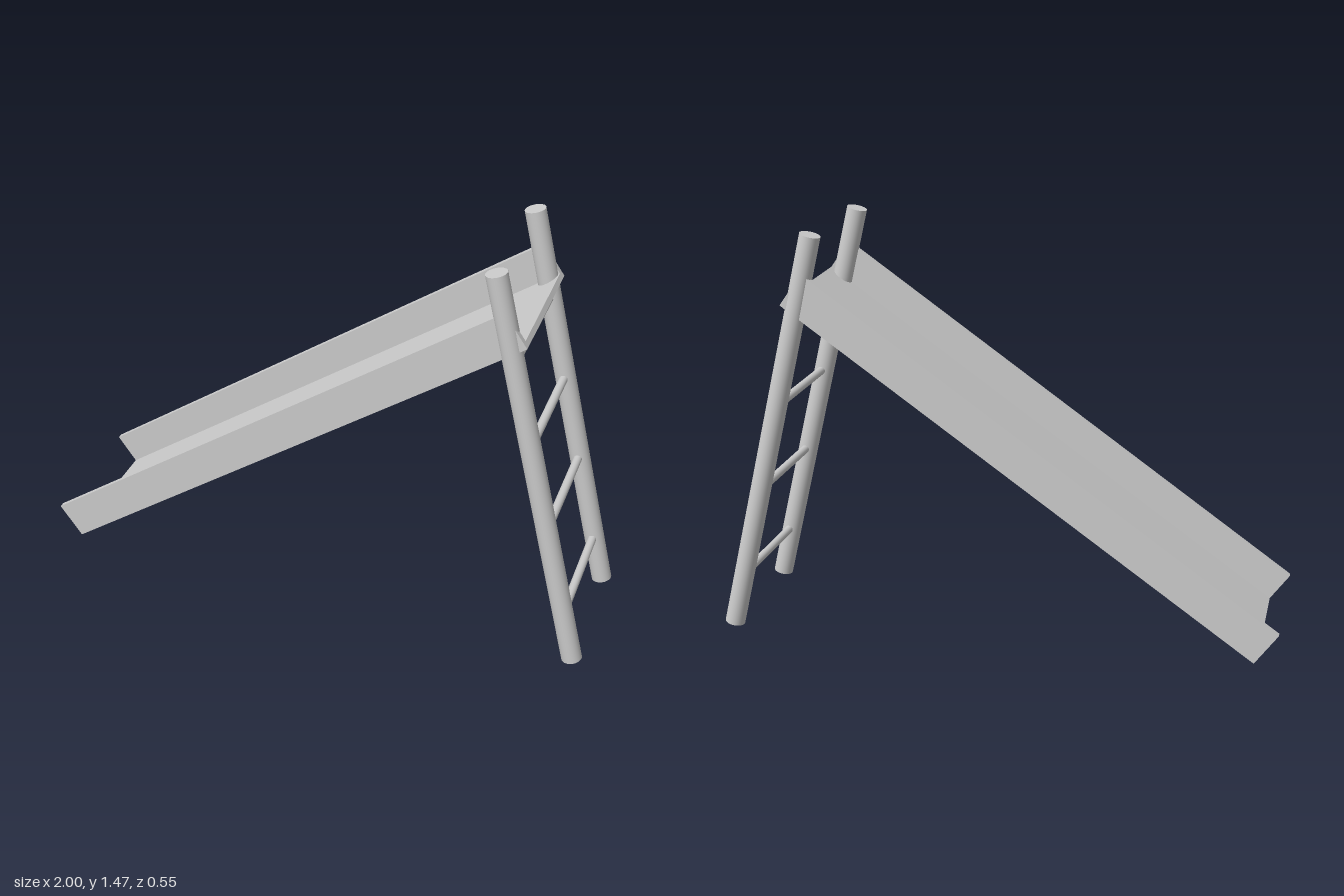
import * as THREE from 'three';

const material = new THREE.MeshStandardMaterial({ color: 0xcccccc });

// Round bar between two points
function bar(name, from, to, radius, sides) {
  const a = new THREE.Vector3(...from);
  const b = new THREE.Vector3(...to);
  const dir = b.clone().sub(a);
  const mesh = new THREE.Mesh(new THREE.CylinderGeometry(radius, radius, dir.length(), sides), material);
  mesh.name = name;
  mesh.position.copy(a).add(b).multiplyScalar(0.5);
  mesh.quaternion.setFromUnitVectors(new THREE.Vector3(0, 1, 0), dir.normalize());
  return mesh;
}

// Sloping chute: a U-shaped section extruded along the slope
function makeChute() {
  const w = 0.255, t = 0.02, h = 0.137;
  const section = new THREE.Shape([
    [-w, 0], [w, 0], [w, h], [w - t, h], [w - t, t], [-w + t, t], [-w + t, h], [-w, h],
  ].map(([x, y]) => new THREE.Vector2(x, y)));
  const low = new THREE.Vector3(-0.922, 0.078, 0.002);
  const high = new THREE.Vector3(0.722, 1.222, 0.002);
  const along = high.clone().sub(low);
  const geometry = new THREE.ExtrudeGeometry(section, { depth: along.length(), bevelEnabled: false });
  along.normalize();
  const up = new THREE.Vector3(-along.y, along.x, 0);
  const across = up.clone().cross(along);
  geometry.applyMatrix4(new THREE.Matrix4().makeBasis(across, up, along).setPosition(low));
  const chute = new THREE.Mesh(geometry, material);
  chute.name = 'chute';
  return chute;
}

// Leaning ladder: two rails, very slightly twisted, and four rungs
function makeLadder() {
  const ladder = new THREE.Group();
  ladder.name = 'ladder';
  const rails = [
    { name: 'frontRail', bottom: [0.953, 0.008, 0.229], top: [0.606, 1.46, 0.24] },
    { name: 'backRail', bottom: [0.96, 0.012, -0.239], top: [0.613, 1.464, -0.226] },
  ];
  for (const r of rails) ladder.add(bar(r.name, r.bottom, r.top, 0.036, 32));

  [0.2, 0.536, 0.852, 1.156].forEach((y, i) => {
    const x = 0.958 - (y - 0.01) * 0.239;
    ladder.add(bar(`rung${i + 1}`, [x - 0.003, y - 0.002, 0.204], [x + 0.003, y + 0.002, -0.204], 0.015, 24));
  });
  return ladder;
}

export function createModel() {
  const slide = new THREE.Group();
  slide.name = 'slide';
  slide.add(makeChute(), makeLadder());
  return slide;
}
